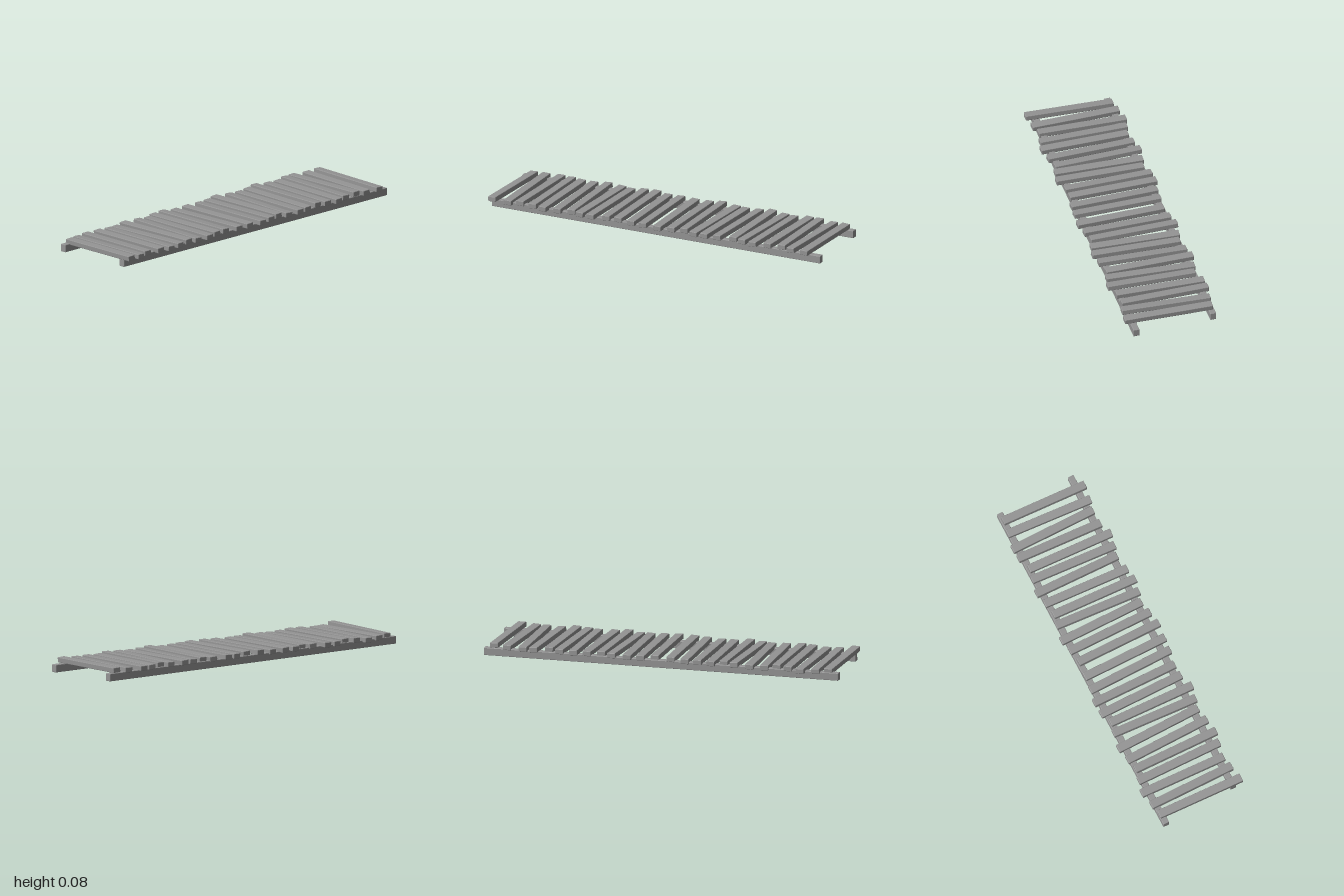
import * as THREE from 'three';
import { RoundedBoxGeometry } from 'three/addons/geometries/RoundedBoxGeometry.js';

export function createModel() {
  const group = new THREE.Group();
  const wood = new THREE.MeshStandardMaterial({ color: 0x949494, flatShading: true });
  wood.name = 'grey wood';

  // Lightly chamfered beam running between two end points, local z along its length
  function beam(name, width, height, from, to) {
    const a = new THREE.Vector3(...from), b = new THREE.Vector3(...to);
    const mesh = new THREE.Mesh(new RoundedBoxGeometry(width, height, a.distanceTo(b), 1, 0.003), wood);
    mesh.name = name;
    mesh.position.copy(a).add(b).multiplyScalar(0.5);
    mesh.lookAt(b);
    group.add(mesh);
    return mesh;
  }

  // Two long rails, slightly skewed and dipping towards the back
  beam('leftRail', 0.034, 0.042, [0.209, 0.021, -1], [0.2, 0.03, 0.97]);
  beam('rightRail', 0.034, 0.042, [-0.225, 0.024, -0.98], [-0.215, 0.03, 1]);

  // Cross planks from back to front: [z, sideways shift, z rise from -x to +x, height]
  const planks = [
    [-0.92, 0.01, 0.01, 0.058], [-0.84, 0, 0.021, 0.054], [-0.763, -0.016, -0.01, 0.056],
    [-0.692, -0.012, 0.014, 0.055], [-0.614, 0.014, 0.011, 0.057], [-0.548, 0, 0.021, 0.055],
    [-0.477, -0.016, -0.003, 0.057], [-0.397, 0, 0.016, 0.055], [-0.323, 0.014, 0.011, 0.057],
    [-0.257, 0, 0.021, 0.053], [-0.18, -0.016, -0.01, 0.057], [-0.109, 0, -0.008, 0.055],
    [-0.032, 0.014, -0.01, 0.057], [0.058, 0.006, -0.01, 0.057], [0.135, 0, -0.016, 0.054],
    [0.215, -0.016, -0.006, 0.056], [0.286, -0.012, -0.01, 0.055], [0.36, 0.014, 0.006, 0.057],
    [0.427, 0, 0.016, 0.055], [0.5, -0.016, -0.019, 0.055], [0.578, 0, -0.019, 0.053],
    [0.652, 0.014, -0.003, 0.057], [0.718, 0, -0.004, 0.057], [0.795, -0.016, 0.008, 0.054],
    [0.87, 0, -0.01, 0.054], [0.946, 0.014, 0.009, 0.061],
  ];
  planks.forEach(([z, shift, skew, y], i) => {
    const tilt = i === planks.length - 1 ? 0.003 : 0.001 * ((i % 3) - 1);
    const plank = beam(`plank${i + 1}`, 0.046, 0.028,
      [shift - 0.244, y - tilt, z - skew / 2], [shift + 0.244, y + tilt, z + skew / 2]);
    plank.rotateZ(0.05 * ((i * 2) % 3 - 1)); // slight uneven roll
  });
  return group;
}
